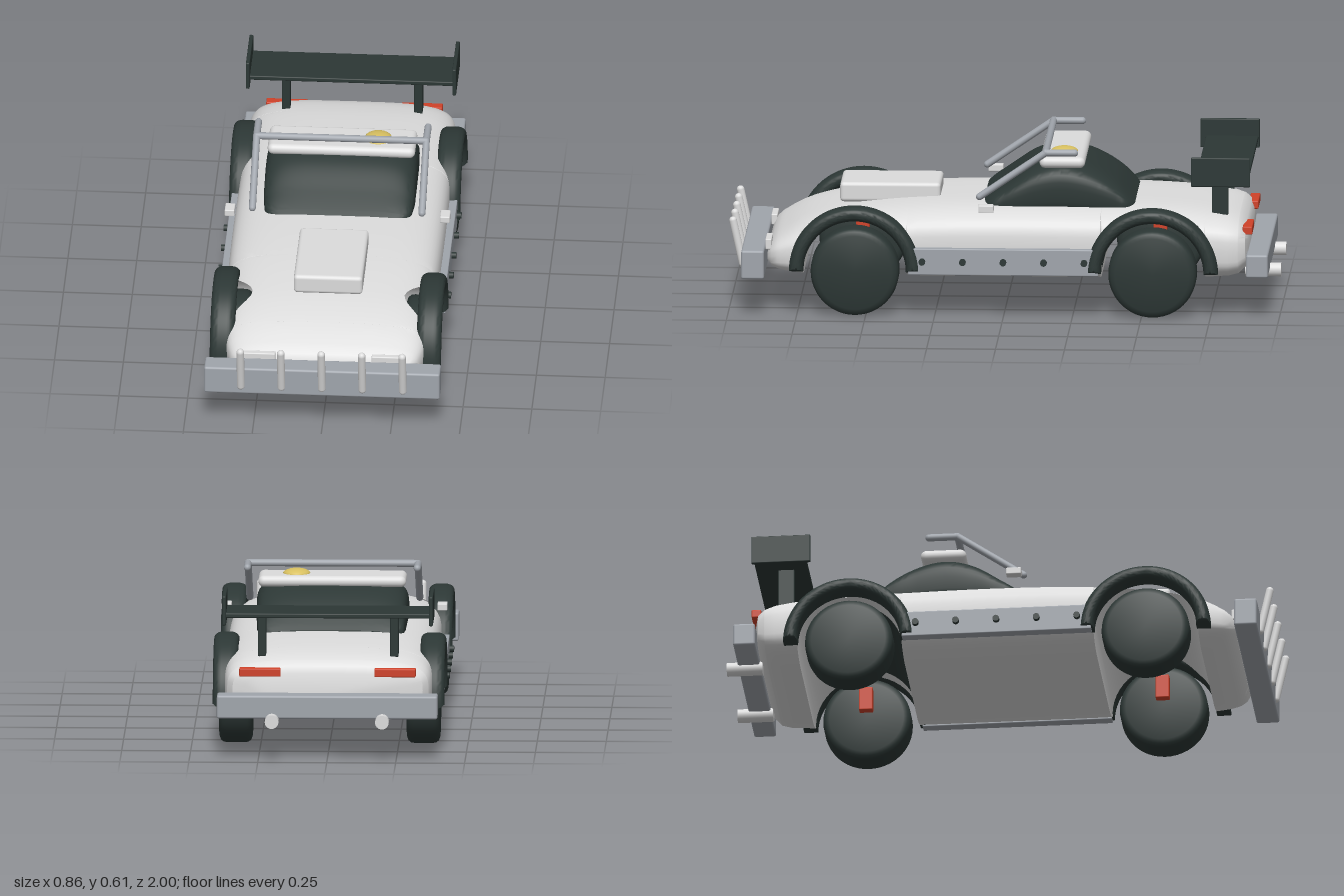
import * as THREE from 'three';
import { toCreasedNormals } from 'three/addons/utils/BufferGeometryUtils.js';
import { RoundedBoxGeometry } from 'three/addons/geometries/RoundedBoxGeometry.js';

const paint = (name, color) => {
  const m = new THREE.MeshStandardMaterial({ color });
  m.name = name;
  return m;
};

const AXLE_Z = 0.54, AXLE_Y = 0.165, ARCH_R = 0.19;

// Loft along z. Rows are [z, halfWidth, top, floor]; arches cuts the wheel openings.
function loft(rows, n, arches) {
  const curve = new THREE.CubicInterpolant(
    rows.map(r => r[0]), rows.flatMap(r => r.slice(1)), 3, new Float32Array(3));
  const z0 = rows[0][0], z1 = rows[rows.length - 1][0];
  const stations = [];
  for (const r of rows) stations.push([r[0], 0]);
  for (let i = 1; i < 48; i++) stations.push([z0 + (z1 - z0) * i / 48, 0]);
  let list = stations;
  if (arches) {
    list = stations.filter(([z]) => Math.abs(Math.abs(z) - AXLE_Z) > ARCH_R + 0.003);
    for (const c of [-AXLE_Z, AXLE_Z]) {
      list.push([c - ARCH_R - 1e-5, 0], [c + ARCH_R + 1e-5, 0]);
      for (let k = 0; k <= 24; k++) {
        const a = Math.PI * k / 24;
        list.push([c - ARCH_R * Math.cos(a), AXLE_Y + ARCH_R * Math.sin(a)]);
      }
    }
  }
  list.sort((a, b) => a[0] - b[0]);
  const N = 48, pos = [], idx = [];
  for (const [z, cut] of list) {
    const [w, top, floor] = curve.evaluate(z);
    const yc = floor + (top - floor) * 0.45;
    const bottom = Math.min(Math.max(cut, floor + (yc - floor) * 0.06), top - 0.006);
    const u = (bottom - yc) / (bottom > yc ? top - yc : yc - floor);
    const t0 = Math.asin(Math.sign(u) * Math.abs(u) ** (n / 2));
    for (let i = 0; i <= N; i++) {
      const t = t0 + (Math.PI - 2 * t0) * i / N, s = Math.sin(t), c = Math.cos(t);
      pos.push(w * Math.sign(c) * Math.abs(c) ** (2 / n),
        yc + (s > 0 ? top - yc : yc - floor) * Math.sign(s) * Math.abs(s) ** (2 / n), z);
    }
  }
  const M = N + 1, L = list.length;
  for (let j = 0; j < L - 1; j++) for (let i = 0; i < M; i++) {
    const a = j * M + i, b = j * M + (i + 1) % M;
    idx.push(a, b, a + M, b, b + M, a + M);
  }
  for (let i = 1; i < M - 1; i++) {
    const e = (L - 1) * M;
    idx.push(0, i + 1, i, e, e + i, e + i + 1);
  }
  const g = new THREE.BufferGeometry();
  g.setAttribute('position', new THREE.Float32BufferAttribute(pos, 3));
  g.setIndex(idx);
  return toCreasedNormals(g, 0.65);
}

export function createModel() {
  const car = new THREE.Group();
  car.name = 'car';
  const white = paint('body white', 0xdcdcdc);
  const dark = paint('dark rubber', 0x2c3735);
  const steel = paint('steel grey', 0xa0a5ac);
  const red = paint('signal red', 0xcf4229);
  const yellow = paint('beacon yellow', 0xd8c060);
  const darkLiner = paint('dark liner', 0x2c3735);
  darkLiner.side = THREE.DoubleSide;

  const add = (name, geo, mat, x = 0, y = 0, z = 0) => {
    const m = new THREE.Mesh(geo, mat);
    m.name = name;
    m.position.set(x, y, z);
    car.add(m);
    return m;
  };
  // Box given by its extents
  const box = (name, mat, x0, x1, y0, y1, z0, z1, r = 0.004) =>
    add(name, new RoundedBoxGeometry(x1 - x0, y1 - y0, z1 - z0, 3, r), mat,
      (x0 + x1) / 2, (y0 + y1) / 2, (z0 + z1) / 2);
  const pair = (name, mat, x0, x1, ...rest) => {
    box(name, mat, x0, x1, ...rest);
    box(name, mat, -x1, -x0, ...rest);
  };
  const rod = (name, mat, a, b, r) => {
    const p = new THREE.Vector3(...a), q = new THREE.Vector3(...b), d = q.clone().sub(p);
    const m = add(name, new THREE.CapsuleGeometry(r, d.length(), 5, 16), mat);
    m.position.copy(p).add(q).multiplyScalar(0.5);
    m.quaternion.setFromUnitVectors(new THREE.Vector3(0, 1, 0), d.normalize());
  };

  // Body shell and cabin
  add('body', loft([
    [-0.885, 0.30, 0.31, 0.19], [-0.875, 0.345, 0.335, 0.165], [-0.85, 0.365, 0.355, 0.14],
    [-0.78, 0.375, 0.374, 0.128], [-0.6, 0.378, 0.392, 0.122], [-0.3, 0.382, 0.4, 0.12],
    [0, 0.384, 0.402, 0.12], [0.3, 0.382, 0.394, 0.12], [0.5, 0.375, 0.376, 0.122],
    [0.65, 0.37, 0.35, 0.125], [0.75, 0.362, 0.316, 0.13], [0.81, 0.345, 0.282, 0.14],
    [0.845, 0.32, 0.255, 0.155], [0.86, 0.29, 0.225, 0.175]], 3.7, true), white);
  add('cabinGlass', loft([
    [-0.47, 0.225, 0.4, 0.34], [-0.45, 0.255, 0.422, 0.34], [-0.4, 0.267, 0.47, 0.34],
    [-0.3, 0.273, 0.528, 0.34], [-0.2, 0.275, 0.55, 0.34], [-0.1, 0.275, 0.525, 0.34],
    [0, 0.271, 0.458, 0.34], [0.06, 0.255, 0.415, 0.34], [0.085, 0.22, 0.395, 0.34]], 4), dark);
  box('roof', white, -0.268, 0.268, 0.527, 0.568, -0.29, -0.125, 0.02);
  box('hoodScoop', white, -0.125, 0.125, 0.37, 0.442, 0.24, 0.605, 0.014);
  const beacon = add('beacon', new THREE.SphereGeometry(0.05, 32, 16), yellow, 0.13, 0.566, -0.21);
  beacon.scale.y = 0.4;

  // Wheels, fenders and brake calipers
  const tyre = [[0, -0.06], [0.135, -0.06], [0.15, -0.055], [0.158, -0.045], [0.16, -0.032],
    [0.16, 0.032], [0.158, 0.045], [0.15, 0.055], [0.135, 0.06], [0, 0.06]];
  const wheel = toCreasedNormals(new THREE.LatheGeometry(
    tyre.map(p => new THREE.Vector2(...p)), 48).rotateZ(Math.PI / 2), 0.6);
  const ring = new THREE.Shape();
  ring.absarc(0, 0, 0.238, 0, Math.PI, false);
  ring.absarc(0, 0, 0.186, Math.PI, 0, true);
  const fender = toCreasedNormals(new THREE.ExtrudeGeometry(ring, {
    depth: 0.03, bevelThickness: 0.03, bevelSize: 0.022, bevelOffset: -0.022,
    bevelSegments: 6, curveSegments: 32 }).translate(0, 0, -0.015).rotateY(Math.PI / 2), 0.6);
  for (const x of [-1, 1]) for (const z of [-AXLE_Z, AXLE_Z]) {
    add('wheel', wheel, dark, x * 0.34, 0.162, z);
    add('fender', fender, dark, x * 0.375, AXLE_Y, z);
    box('brakeCaliper', red, x * 0.265 - 0.016, x * 0.265 + 0.016, 0.18, 0.27, z - 0.025, z + 0.025);
  }
  // Lining on the forward half of the rear arch
  const liner = new THREE.CylinderGeometry(0.187, 0.187, 0.56, 24, 1, true, 0, Math.PI / 2);
  add('rearArchLiner', liner.rotateZ(Math.PI / 2), darkLiner, 0, AXLE_Y, -AXLE_Z)
    .scale.set(1, 1, 1);

  // Side sills with bolts
  pair('sill', steel, 0.37, 0.41, 0.158, 0.255, -0.345, 0.345);
  const bolt = new THREE.CylinderGeometry(0.012, 0.012, 0.03, 16).rotateZ(Math.PI / 2);
  for (const x of [-0.412, 0.412]) for (let i = -2; i <= 2; i++)
    add('sillBolt', bolt, dark, x, 0.208, i * 0.147);

  // Front bumper, bull bars and lamps
  box('frontBumper', steel, -0.428, 0.428, 0.14, 0.245, 0.867, 0.95, 0.008);
  for (let i = -2; i <= 2; i++)
    rod('bullBar', white, [i * 0.147, 0.174, 0.95], [i * 0.147, 0.332, 0.985], 0.014);
  pair('headlamp', white, 0.175, 0.295, 0.225, 0.264, 0.845, 0.868);

  // Rear bumper, exhausts and tail lamps
  box('rearBumper', steel, -0.4, 0.4, 0.155, 0.24, -0.96, -0.88, 0.008);
  const pipe = new THREE.CylinderGeometry(0.025, 0.025, 0.13, 24).rotateX(Math.PI / 2);
  for (const x of [-0.2, 0.2]) add('exhaust', pipe, white, x, 0.15, -0.935);
  pair('tailLamp', red, 0.17, 0.32, 0.3, 0.33, -0.9, -0.865);

  // Rear wing
  box('wingBlade', dark, -0.375, 0.375, 0.514, 0.531, -0.89, -0.7);
  pair('wingEndPlate', dark, 0.368, 0.382, 0.487, 0.594, -0.895, -0.68);
  pair('wingStrut', dark, 0.225, 0.255, 0.36, 0.52, -0.81, -0.75);

  // Mirrors and roll cage
  pair('mirror', white, 0.373, 0.409, 0.39, 0.416, 0.035, 0.09);
  for (const x of [-0.308, 0.308]) {
    rod('cageStrut', steel, [x, 0.43, 0.09], [x, 0.594, -0.15], 0.013);
    rod('cageRail', steel, [x, 0.594, -0.15], [x, 0.594, -0.255], 0.013);
  }
  rod('cageCrossbar', steel, [-0.308, 0.595, -0.15], [0.308, 0.595, -0.15], 0.013);

  return car;
}
